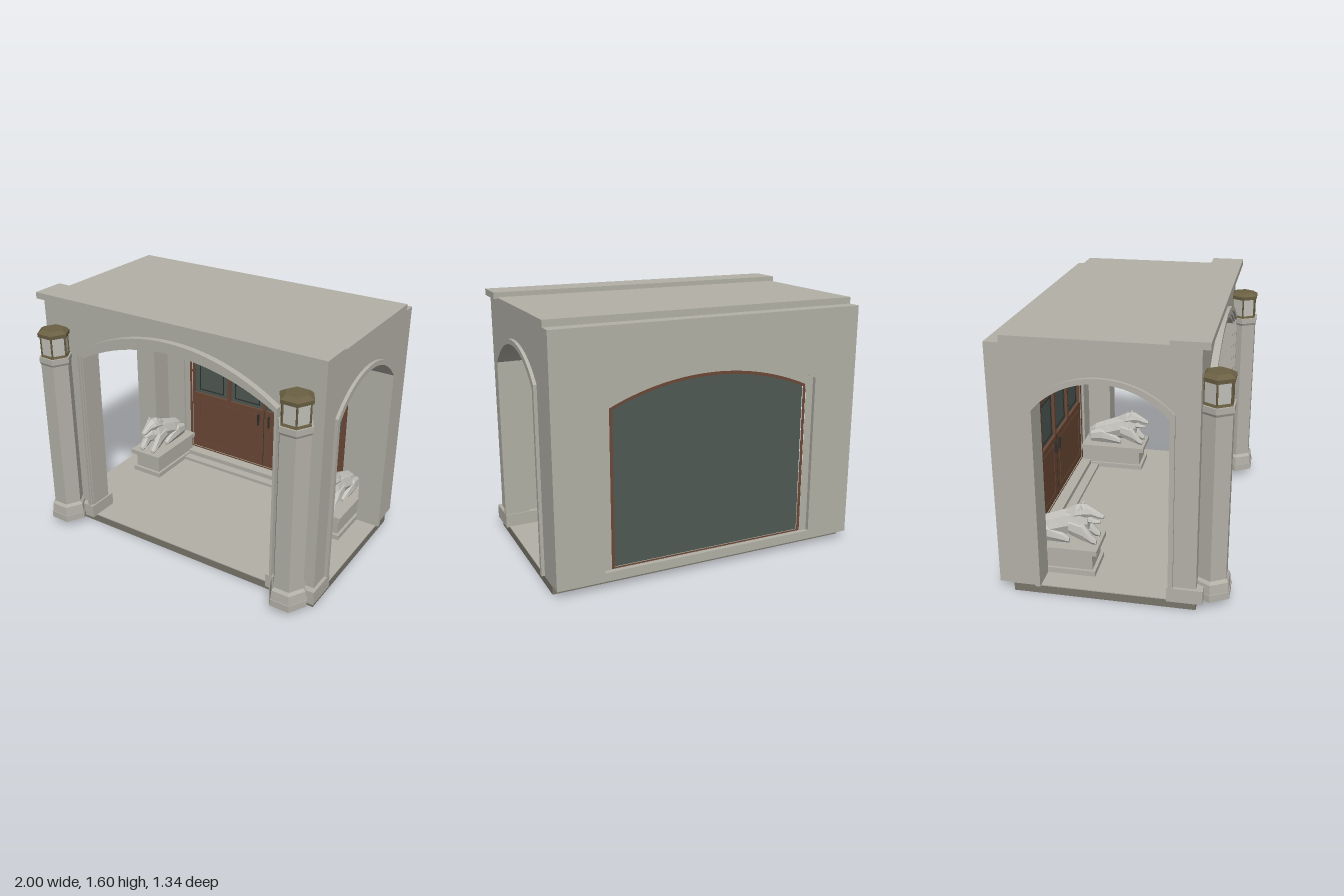
import * as THREE from 'three';

const mat = (name, color) => {
  const m = new THREE.MeshStandardMaterial({ color });
  m.name = name;
  return m;
};

export function createModel() {
  const stone = mat('stone', 0xb3b1a7);
  const slabGrey = mat('darkSlab', 0x78756a);
  const wood = mat('brownWood', 0x6b4836);
  const glass = mat('darkGlass', 0x4f5954);
  const black = mat('darkTrim', 0x2e302c);
  const bronze = mat('bronze', 0x6b6044);
  const pale = mat('paleStone', 0xc3c2bb);
  const model = new THREE.Group();

  const add = (name, geo, material, x = 0, y = 0, z = 0, parent = model) => {
    const m = new THREE.Mesh(geo, material);
    m.name = name;
    m.position.set(x, y, z);
    parent.add(m);
    return m;
  };
  // box given by its limits
  const box = (name, material, x0, x1, y0, y1, z0, z1, parent) =>
    add(name, new THREE.BoxGeometry(x1 - x0, y1 - y0, z1 - z0), material,
      (x0 + x1) / 2, (y0 + y1) / 2, (z0 + z1) / 2, parent);

  // height of a segmental arch at offset x from its middle
  const archY = ([w, , spring, apex], x) => {
    const h = apex - spring, r = (w * w + h * h) / (2 * h);
    return apex - r + Math.sqrt(Math.max(0, r * r - x * x));
  };
  // arch = [halfWidth, bottom, spring, apex]; points run left to right over the top
  const archPoints = (a, c = 0, n = 28) => {
    const p = [new THREE.Vector2(c - a[0], a[1])];
    for (let i = 0; i <= n; i++) {
      const x = -a[0] + (2 * a[0] * i) / n;
      p.push(new THREE.Vector2(c + x, archY(a, x)));
    }
    p.push(new THREE.Vector2(c + a[0], a[1]));
    return p;
  };
  const extrude = (pts, z0, z1, holes = []) => {
    const s = new THREE.Shape(pts);
    s.holes = holes.map((h) => new THREE.Path(h));
    return new THREE.ExtrudeGeometry(s, { depth: z1 - z0, bevelEnabled: false }).translate(0, 0, z0);
  };
  const rect = (x0, x1, y0, y1) =>
    [[x0, y0], [x1, y0], [x1, y1], [x0, y1]].map((p) => new THREE.Vector2(...p));
  // wall whose arched opening reaches the floor
  const archWall = (x0, x1, y0, y1, arch, c, z0, z1) => extrude(
    [new THREE.Vector2(x0, y0), ...archPoints(arch, c),
      new THREE.Vector2(x1, y0), new THREE.Vector2(x1, y1), new THREE.Vector2(x0, y1)], z0, z1);
  // arched band open at the bottom
  const archBand = (outer, inner, c, z0, z1) =>
    extrude([...archPoints(outer, c), ...archPoints(inner, c).reverse()], z0, z1);

  // floor, roof and cornice
  box('floorSlab', slabGrey, -0.98, 0.98, 0, 0.05, -0.585, 0.49);
  box('floorPaving', stone, -0.98, 0.98, 0.05, 0.056, -0.585, 0.49);
  box('roof', stone, -0.98, 0.98, 1.42, 1.57, -0.585, 0.49);
  box('cornice', stone, -1, 1, 1.56, 1.6, 0.325, 0.535);

  // front wall with stepped arch moulding
  const F = 0.055;
  const front = [0.685, F, 1.215, 1.395];
  add('frontWall', archWall(-0.98, 0.98, F, 1.5, front, 0, 0.355, 0.49), stone);
  const steps = [[0.715, F, 1.255, 1.476], [0.702, F, 1.24, 1.446], [0.692, F, 1.227, 1.418], front];
  for (let i = 0; i < 3; i++) {
    add('frontArchMoulding', archBand(steps[i], steps[i + 1], 0, 0.48, 0.53 - i * 0.013), stone);
  }

  // back wall with recessed door opening
  const recess = [0.69, 0.11, 1.11, 1.255];
  const doorOuter = [0.64, 0.112, 1.07, 1.21];
  const doorInner = [0.62, 0.122, 1.06, 1.19];
  add('backWall', extrude(rect(-0.98, 0.98, F, 1.53), -0.67, -0.585, [archPoints(recess)]), stone);
  add('doorSurround', extrude(archPoints(recess), -0.645, -0.6, [archPoints(doorOuter)]), stone);
  add('doorFrame', extrude(archPoints(doorOuter), -0.642, -0.592, [archPoints(doorInner)]), wood);
  add('doorGlass', extrude(archPoints(doorInner), -0.636, -0.616), glass);

  // doors: wooden leaf pierced by two rows of panes
  const paneTop = [0.612, 0, 1.045, 1.18];
  const panes = [], columns = [[-0.605, -0.315], [-0.29, -0.012], [0.012, 0.29], [0.315, 0.605]];
  for (const [x0, x1] of columns) {
    panes.push(rect(x0, x1, 0.575, 0.905));
    const p = [new THREE.Vector2(x0, 0.937), new THREE.Vector2(x1, 0.937)];
    for (let i = 0; i <= 8; i++) {
      const x = x1 + ((x0 - x1) * i) / 8;
      p.push(new THREE.Vector2(x, archY(paneTop, x)));
    }
    panes.push(p);
    // dark glazing outlines
    const m = (x0 + x1) / 2;
    for (const [b, t] of [[0.6, 0.872], [0.957, 1.065]]) {
      add('glazingBar', extrude(rect(m - 0.105, m + 0.105, b, t), -0.616, -0.611,
        [rect(m - 0.098, m + 0.098, b + 0.007, t - 0.007)]), black);
    }
  }
  add('doorLeaves', extrude(archPoints(doorInner), -0.616, -0.598, panes), wood);
  box('doorGap', black, -0.002, 0.002, 0.125, 0.575, -0.6, -0.597);
  for (const s of [-1, 1]) {
    box('doorHandle', black, s * 0.043 - 0.004, s * 0.043 + 0.004, 0.455, 0.54, -0.6, -0.58);
    add('doorPanelOutline', extrude(rect(s * 0.31 - 0.25, s * 0.31 + 0.25, 0.17, 0.53), -0.599, -0.595,
      [rect(s * 0.31 - 0.245, s * 0.31 + 0.245, 0.175, 0.525)]), wood);
  }

  // door steps and ceiling lamp
  box('lowerStep', stone, -0.61, 0.61, F, 0.078, -0.585, -0.46);
  box('upperStep', stone, -0.61, 0.61, 0.07, 0.11, -0.6, -0.52);
  add('ceilingLamp', new THREE.CylinderGeometry(0.046, 0.036, 0.08, 8), pale, 0, 1.385, 0);

  // low-poly loft along -z; ring = [z, y, halfWidth, halfHeight]
  const loft = (rings, n = 7) => {
    const v = [];
    const pt = ([z, y, rx, ry], i) => {
      const a = (i / n) * Math.PI * 2 + Math.PI / 2;
      return [rx * Math.cos(a), y + ry * Math.sin(a), z];
    };
    const last = rings.length - 1;
    for (let i = 0; i < n; i++) {
      v.push(0, rings[0][1], rings[0][0], ...pt(rings[0], i), ...pt(rings[0], i + 1));
      v.push(0, rings[last][1], rings[last][0], ...pt(rings[last], i + 1), ...pt(rings[last], i));
      for (let k = 0; k < last; k++) {
        const a = pt(rings[k], i), b = pt(rings[k], i + 1);
        const c = pt(rings[k + 1], i), d = pt(rings[k + 1], i + 1);
        v.push(...a, ...c, ...b, ...b, ...c, ...d);
      }
    }
    const g = new THREE.BufferGeometry();
    g.setAttribute('position', new THREE.Float32BufferAttribute(v, 3));
    g.computeVertexNormals();
    return g;
  };
  const hex = (rTop, rBottom, h) => {
    const g = new THREE.CylinderGeometry(rTop, rBottom, h, 6).rotateY(Math.PI / 6).toNonIndexed();
    g.computeVertexNormals();
    return g;
  };
  const sideArch = [0.375, F, 1.165, 1.34], sideOuter = [0.403, F, 1.195, 1.37];

  for (const s of [-1, 1]) {
    // side wall with arch and slightly proud trim
    const inner = s > 0 ? 0.84 : -0.98;
    add('sideWall', archWall(-0.49, 0.585, F, 1.5, sideArch, 0.045, inner, inner + 0.14)
      .rotateY(Math.PI / 2), stone);
    const t = s > 0 ? 0.97 : -1;
    add('sideArchTrim', archBand(sideOuter, sideArch, 0.045, t, t + 0.03).rotateY(Math.PI / 2), stone);
    box('pierPlinth', stone, s > 0 ? 0.675 : -1, s > 0 ? 1 : -0.675, 0.052, 0.14, 0.323, 0.53);

    // hexagonal column: [name, bottom, top, bottom radius, top radius]
    const column = new THREE.Group();
    column.name = 'lanternColumn';
    column.position.set(s * 0.85, 0, 0.565);
    model.add(column);
    for (const [name, y0, y1, r0, r1, m] of [
      ['columnBase', 0.055, 0.1, 0.125, 0.125, stone], ['columnBaseUpper', 0.1, 0.16, 0.12, 0.114, stone],
      ['columnBaseTaper', 0.16, 0.178, 0.114, 0.098, stone], ['columnShaft', 0.178, 1.18, 0.098, 0.098, stone],
      ['columnNeck', 1.18, 1.195, 0.098, 0.106, stone], ['columnCapital', 1.195, 1.23, 0.106, 0.106, stone],
      ['lanternFoot', 1.23, 1.243, 0.094, 0.09, bronze], ['lanternPane', 1.243, 1.365, 0.082, 0.086, pale],
      ['lanternEaves', 1.362, 1.385, 0.102, 0.104, bronze], ['lanternRoof', 1.385, 1.404, 0.104, 0.07, bronze],
    ]) add(name, hex(r1, r0, y1 - y0), m, 0, (y0 + y1) / 2, 0, column);
    for (let i = 0; i < 6; i++) {
      const a = (i * Math.PI) / 3;
      add('lanternBar', new THREE.CylinderGeometry(0.006, 0.006, 0.125, 5), bronze,
        0.086 * Math.cos(a), 1.304, 0.086 * Math.sin(a), column);
    }

    // pedestal
    const px = s * 0.725;
    box('pedestalFoot', stone, px - 0.117, px + 0.117, F, 0.09, -0.585, -0.13);
    box('pedestalBlock', stone, px - 0.1, px + 0.1, 0.09, 0.2, -0.585, -0.15);
    box('pedestalTop', stone, px - 0.124, px + 0.124, 0.2, 0.232, -0.585, -0.118);

    // resting bear statue
    const bear = new THREE.Group();
    bear.name = 'bearStatue';
    bear.position.x = s * 0.722;
    model.add(bear);
    add('bearBody', loft([[-0.19, 0.36, 0.04, 0.05], [-0.23, 0.37, 0.06, 0.085], [-0.32, 0.35, 0.07, 0.085],
      [-0.42, 0.32, 0.074, 0.077], [-0.5, 0.3, 0.06, 0.065], [-0.55, 0.285, 0.025, 0.04]], 8), pale, 0, 0, 0, bear);
    add('bearHead', loft([[-0.1, 0.398, 0.014, 0.012], [-0.13, 0.408, 0.024, 0.022], [-0.17, 0.425, 0.03, 0.03],
      [-0.205, 0.432, 0.05, 0.043], [-0.26, 0.42, 0.052, 0.05], [-0.32, 0.385, 0.045, 0.05]], 8), pale, 0, 0, 0, bear);
    add('bearJaw', loft([[-0.12, 0.362, 0.01, 0.007], [-0.16, 0.365, 0.02, 0.013],
      [-0.21, 0.385, 0.04, 0.03]]), pale, 0, 0, 0, bear);
    add('bearNose', new THREE.BoxGeometry(0.018, 0.012, 0.006), pale, 0, 0.404, -0.099, bear);
    for (const e of [-1, 1]) {
      add('bearEar', new THREE.ConeGeometry(0.018, 0.035, 5), pale, e * 0.034, 0.467, -0.23, bear);
      add('bearForeleg', loft([[-0.135, 0.25, 0.015, 0.014], [-0.16, 0.265, 0.026, 0.028],
        [-0.22, 0.315, 0.028, 0.062], [-0.3, 0.34, 0.025, 0.05]]), pale, e * 0.048, 0, 0, bear);
      add('bearHindLeg', loft([[-0.3, 0.25, 0.016, 0.016], [-0.34, 0.268, 0.026, 0.034],
        [-0.44, 0.293, 0.034, 0.058], [-0.53, 0.28, 0.022, 0.042]]), pale, e * 0.052, 0, 0, bear);
    }
  }
  return model;
}
